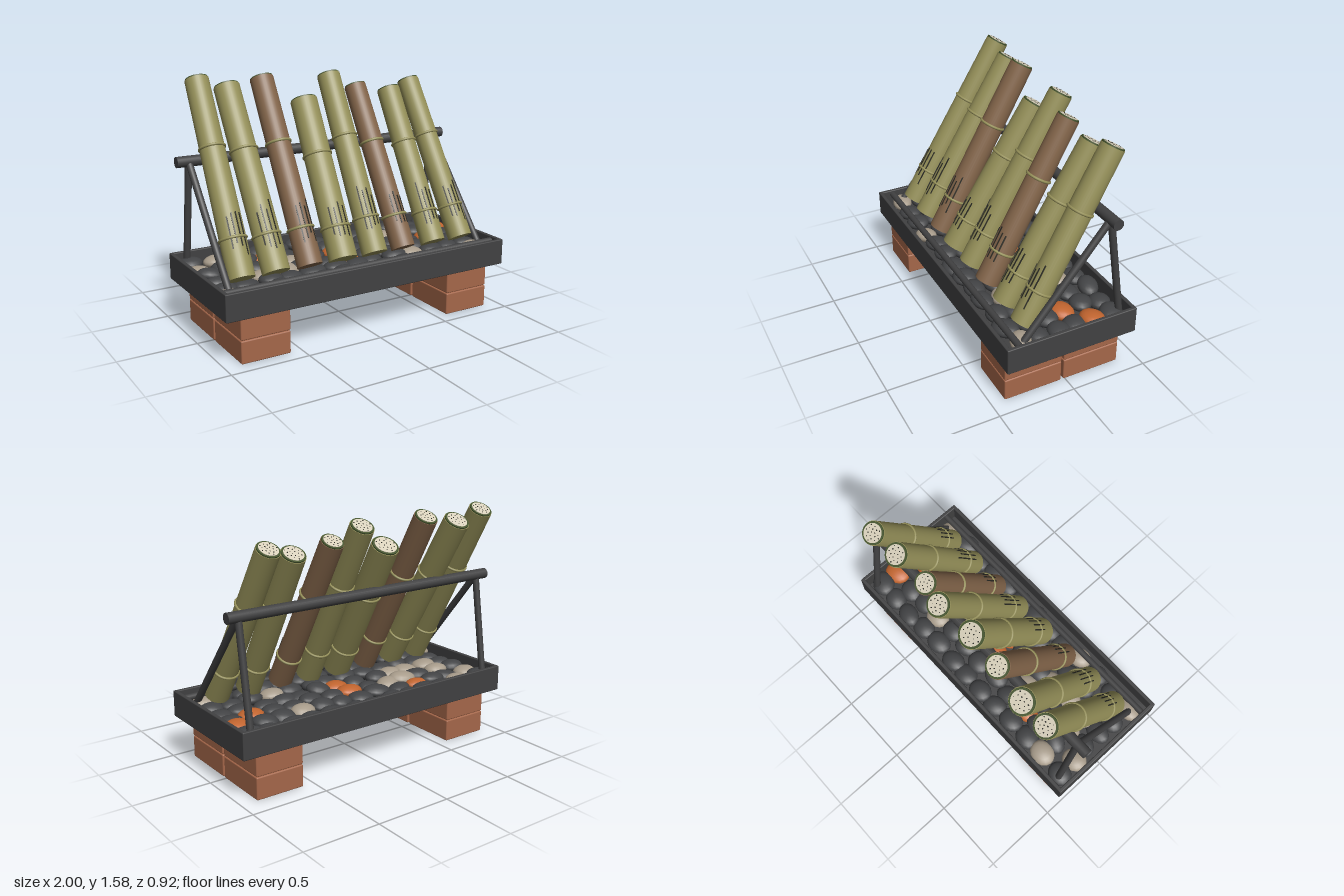
import * as THREE from 'three';
import { RoundedBoxGeometry } from 'three/addons/geometries/RoundedBoxGeometry.js';

const mat = (name, color) => {
  const m = new THREE.MeshStandardMaterial({ color });
  m.name = name;
  return m;
};

export function createModel() {
  const model = new THREE.Group();
  model.name = 'bambooPlanter';

  const charcoal = mat('charcoal metal', 0x414142);
  const brickRed = mat('brick red', 0xa5674a);
  const olive = mat('olive bamboo', 0x959059);
  const brown = mat('brown bamboo', 0x83654a);
  const rimGreen = mat('dark green rim', 0x46552f);
  const cream = mat('cream pith', 0xd8d0bb);
  const black = mat('slit black', 0x2a2a24);
  const slate = mat('slate stone', 0x434446);
  const beige = mat('beige stone', 0xa89c8b);
  const orange = mat('orange stone', 0xc2652f);

  let seed = 7;
  const rand = () => (seed = (seed * 16807) % 2147483647) / 2147483647;

  const add = (parent, name, geometry, material, x = 0, y = 0, z = 0) => {
    const mesh = new THREE.Mesh(geometry, material);
    mesh.name = name;
    mesh.position.set(x, y, z);
    parent.add(mesh);
    return mesh;
  };
  const UP = new THREE.Vector3(0, 1, 0);
  const rod = (name, a, b, r) => {
    const p = new THREE.Vector3(...a), d = new THREE.Vector3(...b).sub(p);
    const m = add(model, name, new THREE.CylinderGeometry(r, r, d.length(), 20), charcoal);
    m.position.copy(p).addScaledVector(d, 0.5);
    m.quaternion.setFromUnitVectors(UP, d.normalize());
  };

  // Brick supports: two stacked layers, two bricks deep, at each end
  for (const x of [-0.735, 0.735])
    for (const y of [0.0725, 0.2185])
      for (const z of [0.22, -0.18])
        add(model, 'brick', new RoundedBoxGeometry(0.32, 0.143, 0.384, 2, 0.008), brickRed, x, y, z);

  // Open tray
  add(model, 'trayFloor', new THREE.BoxGeometry(1.98, 0.05, 0.85), charcoal, 0, 0.316, 0.018);
  for (const z of [0.4375, -0.4025])
    add(model, 'trayLongWall', new RoundedBoxGeometry(2, 0.17, 0.025, 2, 0.006), charcoal, 0, 0.375, z);
  for (const x of [-0.9875, 0.9875])
    add(model, 'trayEndWall', new RoundedBoxGeometry(0.025, 0.17, 0.865, 2, 0.006), charcoal, x, 0.375, 0.0175);

  // Support frame
  rod('topBar', [-0.99, 1.075, -0.245], [0.985, 1.075, -0.245], 0.034);
  rod('frontBar', [-0.975, 0.43, 0.353], [0.975, 0.43, 0.353], 0.021);
  for (const x of [-0.91, 0.91]) {
    rod('rearLeg', [x, 1.075, -0.245], [x, 0.33, -0.358], 0.022);
    rod('frontLeg', [x, 1.075, -0.245], [x, 0.34, 0.36], 0.022);
  }

  // Pebble bed, one letter per stone from back to front
  const stoneColors = { D: slate, B: beige, O: orange };
  const stoneGeo = new THREE.SphereGeometry(1, 16, 10);
  ['DBDDDDDDDDDDD', 'BDDODDDDDBDDO', 'DBDBBDODDDDOD',
    'DBBBDDODDDDDD', 'DDDDDDDDDBDDD', 'BDDBDDDDDDDDB'].forEach((row, j) => {
    [...row].forEach((c, i) => {
      const s = add(model, 'pebble', stoneGeo, stoneColors[c],
        -0.88 + i * 0.1467 + (rand() - 0.5) * 0.04,
        0.378 + rand() * 0.02,
        -0.315 + j * 0.126 + (rand() - 0.5) * 0.03);
      s.scale.set(0.08 + rand() * 0.015, 0.042, 0.064 + rand() * 0.014);
      s.rotation.set((rand() - 0.5) * 0.25, (rand() - 0.5) * 0.9, (rand() - 0.5) * 0.25);
    });
  });

  // Leaning bamboo stalk with nodes, slits and a pithy cut end
  const stalk = (x0, x1, y1, z1, r0, r1, skin) => {
    const base = new THREE.Vector3(x0, 0.455, 0.245);
    const axis = new THREE.Vector3(x1, y1, z1).sub(base);
    const len = axis.length();
    const g = new THREE.Group();
    g.name = 'bambooStalk';
    g.position.copy(base);
    g.quaternion.setFromUnitVectors(UP, axis.normalize());
    model.add(g);
    const radius = (t) => r0 + (r1 - r0) * t;

    add(g, 'stalkBody', new THREE.CylinderGeometry(r1, r0, len, 32), skin, 0, len / 2, 0);
    for (const t of [0.19, 0.645]) {
      const node = add(g, 'node', new THREE.TorusGeometry(radius(t), 0.009, 8, 32), olive, 0, t * len, 0);
      node.rotation.x = Math.PI / 2;
    }

    // Dark slits around the lower front
    const turn = (rand() - 0.5) * 0.3;
    for (const a of [-0.55, -0.18, 0.18, 0.55]) {
      const h = 0.17 + rand() * 0.12, y = (0.2 + rand() * 0.04) * len;
      const r = radius(y / len);
      const slit = add(g, 'slit', new THREE.BoxGeometry(0.008, h, 0.006), black,
        Math.sin(a + turn) * r, y, Math.cos(a + turn) * r);
      slit.rotation.y = a + turn;
    }

    // Cut end
    add(g, 'cutRim', new THREE.CylinderGeometry(r1 * 0.95, r1 * 0.95, 0.008, 32), rimGreen, 0, len + 0.004, 0);
    add(g, 'pith', new THREE.CylinderGeometry(r1 * 0.8, r1 * 0.8, 0.006, 32), cream, 0, len + 0.008, 0);
    for (let i = 0; i < 18; i++) {
      const a = i * 2.4, d = Math.sqrt((i + 0.5) / 18) * r1 * 0.72;
      const s = 0.0025 + rand() * 0.0025;
      add(g, 'pore', new THREE.CylinderGeometry(s, s, 0.002, 6), black,
        Math.cos(a) * d, len + 0.0115, Math.sin(a) * d);
    }
  };

  // Base x, top x, top y, top z, base radius, top radius, skin
  [
    [-0.805, -0.775, 1.54, -0.4, 0.083, 0.075, olive],
    [-0.58, -0.582, 1.485, -0.39, 0.086, 0.083, olive],
    [-0.35, -0.353, 1.525, -0.36, 0.08, 0.076, brown],
    [-0.115, -0.078, 1.37, -0.31, 0.091, 0.088, olive],
    [0.118, 0.137, 1.515, -0.36, 0.083, 0.076, olive],
    [0.337, 0.313, 1.437, -0.31, 0.078, 0.072, brown],
    [0.575, 0.581, 1.395, -0.31, 0.081, 0.077, olive],
    [0.8, 0.757, 1.443, -0.33, 0.08, 0.074, olive],
  ].forEach((s) => stalk(...s));

  return model;
}
